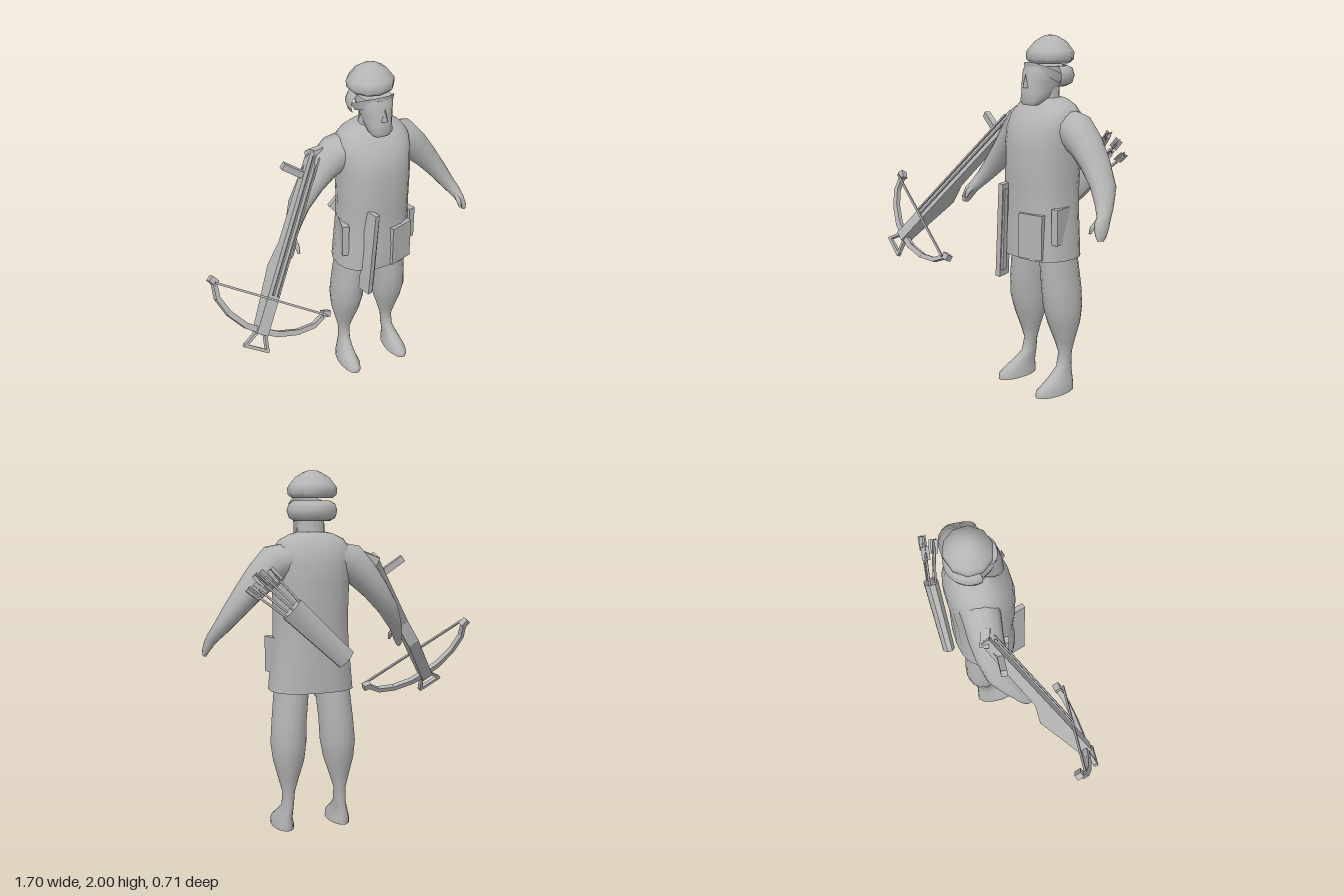
import * as THREE from 'three';
import { toCreasedNormals } from 'three/addons/utils/BufferGeometryUtils.js';

const CX = 0.245; // the figure stands off-centre, the crossbow balances it
const V = (x, y, z) => new THREE.Vector3(x, y, z);

// Rings [x, y, z, a, b] joined into a closed skin; flat keeps every ring horizontal.
function loft(rings, { seg = 16, flat = false, power = 2 } = {}) {
  const c = rings.map(r => V(r[0], r[1], r[2]));
  const pos = [], idx = [], n = rings.length;
  const soft = v => Math.sign(v) * Math.abs(v) ** (2 / power);
  rings.forEach((r, i) => {
    const t = flat ? V(0, 1, 0) : c[Math.min(i + 1, n - 1)].clone().sub(c[Math.max(i - 1, 0)]).normalize();
    const u = t.clone().cross(V(0, 0, 1)).normalize();
    const v = t.clone().cross(u);
    for (let k = 0; k < seg; k++) {
      const a = (k + 0.5) / seg * Math.PI * 2;
      const p = c[i].clone().addScaledVector(u, r[3] * soft(Math.cos(a))).addScaledVector(v, r[4] * soft(Math.sin(a)));
      pos.push(p.x, p.y, p.z);
    }
  });
  for (let i = 0; i < n - 1; i++) for (let k = 0; k < seg; k++) {
    const a = i * seg + k, b = i * seg + (k + 1) % seg;
    idx.push(a, b, b + seg, a, b + seg, a + seg);
  }
  const last = (n - 1) * seg;
  pos.push(...c[0].toArray(), ...c[n - 1].toArray());
  for (let k = 0; k < seg; k++) {
    const m = (k + 1) % seg;
    idx.push(n * seg, m, k, n * seg + 1, last + k, last + m);
  }
  const g = new THREE.BufferGeometry();
  g.setAttribute('position', new THREE.Float32BufferAttribute(pos, 3));
  g.setIndex(idx);
  return toCreasedNormals(g, 0.9);
}

// Horizontal rings given as [y, halfWidth, zFront, zBack]
const stack = (x, rows, opt) =>
  loft(rows.map(([y, w, f, b]) => [x, y, (f + b) / 2, w, (f - b) / 2]), { flat: true, ...opt });

export function createModel() {
  const model = new THREE.Group();
  const grey = new THREE.MeshStandardMaterial({ color: 0xb4b4b4 });
  const greyThin = grey.clone();
  grey.name = 'stone grey';
  greyThin.name = 'stone grey thin';
  greyThin.side = THREE.DoubleSide;
  const add = (name, geo, parent = model, mat = grey) => {
    const m = new THREE.Mesh(geo, mat);
    m.name = name;
    parent.add(m);
    return m;
  };
  // Box beam between two points
  const bar = (name, a, b, w, h, parent = model) => {
    const m = add(name, new THREE.BoxGeometry(w, h, a.distanceTo(b)), parent);
    m.position.copy(a).lerp(b, 0.5);
    m.quaternion.setFromRotationMatrix(new THREE.Matrix4().lookAt(b, a, V(0.1, 1, 0)));
    return m;
  };

  // Tunic
  add('tunic', stack(CX, [
    [0.795, 0.24, 0.115, -0.25], [0.95, 0.225, 0.115, -0.25], [1.06, 0.213, 0.105, -0.25],
    [1.2, 0.208, 0.115, -0.255], [1.4, 0.213, 0.115, -0.268], [1.5, 0.215, 0.1, -0.268],
    [1.58, 0.215, 0.055, -0.25], [1.63, 0.18, 0.01, -0.22], [1.66, 0.12, -0.02, -0.195], [1.67, 0.08, -0.03, -0.175],
  ], { seg: 20, power: 2.4 }));
  const pouch = add('pouch', new THREE.BoxGeometry(0.15, 0.25, 0.03));
  pouch.position.set(0.35, 0.93, 0.093);
  pouch.rotation.y = 0.3;
  for (const s of [-1, 1]) {
    const hip = add('hipPouch', new THREE.BoxGeometry(0.04, 0.2, 0.12));
    hip.position.set(CX + s * 0.205, 0.99, -0.03);
    hip.rotation.y = s * 0.25;
  }
  bar('scabbard', V(0.15, 1.2, 0.115), V(0.115, 0.66, 0.11), 0.085, 0.03);
  bar('scabbardRib', V(0.165, 1.17, 0.13), V(0.14, 0.7, 0.125), 0.03, 0.025);

  // Legs and arms, mirrored about the body axis
  for (const s of [-1, 1]) {
    const side = s > 0 ? 'left' : 'right';
    const leg = [
      [0, 0.167, 0.06, 0.1, -0.17], [0.03, 0.167, 0.057, 0.098, -0.172], [0.06, 0.167, 0.047, 0.055, -0.168],
      [0.1, 0.161, 0.038, -0.01, -0.168], [0.14, 0.155, 0.034, -0.065, -0.165], [0.22, 0.152, 0.035, -0.085, -0.168],
      [0.3, 0.15, 0.058, -0.06, -0.185], [0.4, 0.147, 0.087, -0.02, -0.215], [0.5, 0.145, 0.1, 0.01, -0.228],
      [0.62, 0.138, 0.097, 0.022, -0.225], [0.78, 0.122, 0.098, 0.022, -0.208], [0.85, 0.12, 0.1, 0.02, -0.2],
    ];
    add(side + 'Leg', loft(leg.map(([y, x, w, f, b]) => [CX + s * x, y, (f + b) / 2, w, (f - b) / 2]), { flat: true }));
    const arm = [
      [0.12, 1.53, -0.12, 0.09, 0.11], [0.215, 1.5, -0.12, 0.108, 0.105], [0.29, 1.435, -0.125, 0.09, 0.098],
      [0.37, 1.345, -0.12, 0.073, 0.088], [0.455, 1.235, -0.1, 0.056, 0.075], [0.51, 1.15, -0.055, 0.042, 0.052],
      [0.543, 1.1, -0.02, 0.034, 0.038], [0.56, 1.065, 0.01, 0.026, 0.045], [0.575, 1.02, 0.03, 0.018, 0.036],
      [0.58, 0.995, 0.035, 0.01, 0.02],
    ];
    add(side + 'Arm', loft(arm.map(([x, ...r]) => [CX + s * x, ...r]), { seg: 14 }));
    add(side + 'Thumb', loft([
      [CX + s * 0.54, 1.09, 0.01, 0.017, 0.017], [CX + s * 0.535, 1.06, 0.05, 0.014, 0.014],
      [CX + s * 0.535, 1.03, 0.068, 0.007, 0.007]], { seg: 8 }));
  }

  // Head
  add('neck', stack(CX, [[1.6, 0.1, 0, -0.18], [1.68, 0.075, -0.02, -0.165], [1.78, 0.075, 0, -0.17]]));
  add('head', stack(CX, [
    [1.635, 0.05, 0.052, -0.02], [1.655, 0.068, 0.062, -0.06], [1.7, 0.075, 0.055, -0.13],
    [1.76, 0.085, 0.052, -0.19], [1.81, 0.095, 0.04, -0.205], [1.84, 0.09, 0.03, -0.2],
  ], { power: 2.5 }));
  const nose = add('nose', new THREE.ConeGeometry(0.02, 0.075, 4));
  nose.position.set(CX, 1.765, 0.053);
  const hair = add('hairRoll', new THREE.TorusGeometry(0.097, 0.042, 8, 16, Math.PI * 1.15));
  hair.geometry.rotateZ(-Math.PI * 0.075).rotateX(-Math.PI / 2).scale(1, 1.3, 1);
  hair.position.set(CX, 1.785, -0.115);

  // Open headband dipping towards the ears
  const bandGeo = new THREE.CylinderGeometry(0.125, 0.105, 0.045, 12, 1, true, -1.6, 3.2);
  const band = add('headband', bandGeo, model, greyThin);
  band.scale.z = 1.25;
  band.position.set(CX, 1.775, -0.1);
  band.rotation.x = -0.45;

  // Faceted cap
  add('cap', stack(CX, [
    [1.853, 0.11, -0.01, -0.23], [1.872, 0.134, 0.01, -0.247], [1.908, 0.136, 0.011, -0.25],
    [1.925, 0.124, 0, -0.24], [1.965, 0.092, -0.035, -0.21], [1.99, 0.05, -0.07, -0.17], [2, 0.025, -0.095, -0.145],
  ], { seg: 10 }));

  // Quiver slung across the back, with fletched arrows
  const quiver = new THREE.Group();
  quiver.name = 'quiver';
  quiver.position.set(0.27, 1.13, -0.31);
  quiver.rotation.z = -Math.PI / 4 - 0.03;
  model.add(quiver);
  const tube = new THREE.CylinderGeometry(0.072, 0.06, 0.42, 8);
  tube.rotateY(Math.PI / 8).scale(1, 1, 0.6);
  add('quiverBody', toCreasedNormals(tube, 0.9), quiver);
  for (let i = 0; i < 5; i++) {
    const x = (i - 2) * 0.026, z = i % 2 ? 0.02 : -0.015, len = 0.2 + (i % 3) * 0.02;
    const arrow = new THREE.Group();
    arrow.name = 'arrow';
    arrow.position.set(x, 0.2, z);
    arrow.rotation.set(0.12 + (i % 2) * 0.1, 0, -x * 2);
    quiver.add(arrow);
    add('shaft', new THREE.CylinderGeometry(0.007, 0.007, len, 6).translate(0, len / 2, 0), arrow);
    for (let k = 0; k < 2; k++) {
      const f = add('fletching', new THREE.PlaneGeometry(0.045, 0.08), arrow, greyThin);
      f.position.y = len;
      f.rotation.y = k * Math.PI / 2 + i;
    }
  }

  // Crossbow: local z runs from butt to nose, x along the limbs
  const bow = new THREE.Group();
  bow.name = 'crossbow';
  const z = V(-0.525, -0.743, 0.426).normalize();
  const y = z.clone().cross(V(0.81, -0.565, 0.16)).normalize();
  bow.quaternion.setFromRotationMatrix(new THREE.Matrix4().makeBasis(y.clone().cross(z), y, z));
  bow.position.set(-0.61, 0.785, 0.276);
  model.add(bow);
  const side = [[0.05, 0.03], [-1, 0.03], [-1, -0.02], [-0.46, -0.035], [-0.33, -0.085], [-0.08, -0.05], [0.05, -0.035]];
  const stock = new THREE.ExtrudeGeometry(new THREE.Shape(side.map(p => new THREE.Vector2(...p))), { depth: 0.07, bevelEnabled: false });
  add('stock', stock.translate(0, 0, -0.035).rotateY(-Math.PI / 2), bow);
  const curve = [[-0.355, -0.15], [-0.31, -0.075], [-0.22, -0.015], [-0.1, 0.025], [0, 0.03]];
  for (const s of [-1, 1]) {
    for (let i = 0; i < curve.length - 1; i++) {
      const [a, b] = [curve[i], curve[i + 1]].map(p => V(p[0] * s, 0, p[1]));
      bar('limb', a, b.lerp(a, -0.04), 0.024 + i * 0.003, 0.032, bow);
    }
    bar('limbTip', V(s * 0.34, 0, -0.15), V(s * 0.385, 0, -0.165), 0.035, 0.04, bow);
    bar('stirrupSide', V(s * 0.025, 0, 0.04), V(s * 0.07, 0, 0.13), 0.016, 0.025, bow);
    bar('drawRod', V(s * 0.016, 0.05, -0.17), V(s * 0.016, 0.05, -0.97), 0.01, 0.01, bow);
  }
  bar('stirrupEnd', V(-0.078, 0, 0.13), V(0.078, 0, 0.13), 0.018, 0.025, bow);
  bar('bowstring', V(-0.36, 0.035, -0.15), V(0.36, 0.035, -0.15), 0.012, 0.012, bow);

  // Winding crank at the butt
  bar('windlass', V(-0.13, 1.5, -0.155), V(-0.04, 1.54, -0.12), 0.05, 0.05);
  bar('crankArm', V(-0.19, 1.43, -0.09), V(-0.09, 1.53, -0.15), 0.022, 0.022);
  bar('crankHandle', V(-0.3, 1.515, -0.1), V(-0.185, 1.435, -0.085), 0.035, 0.038);

  return model;
}
